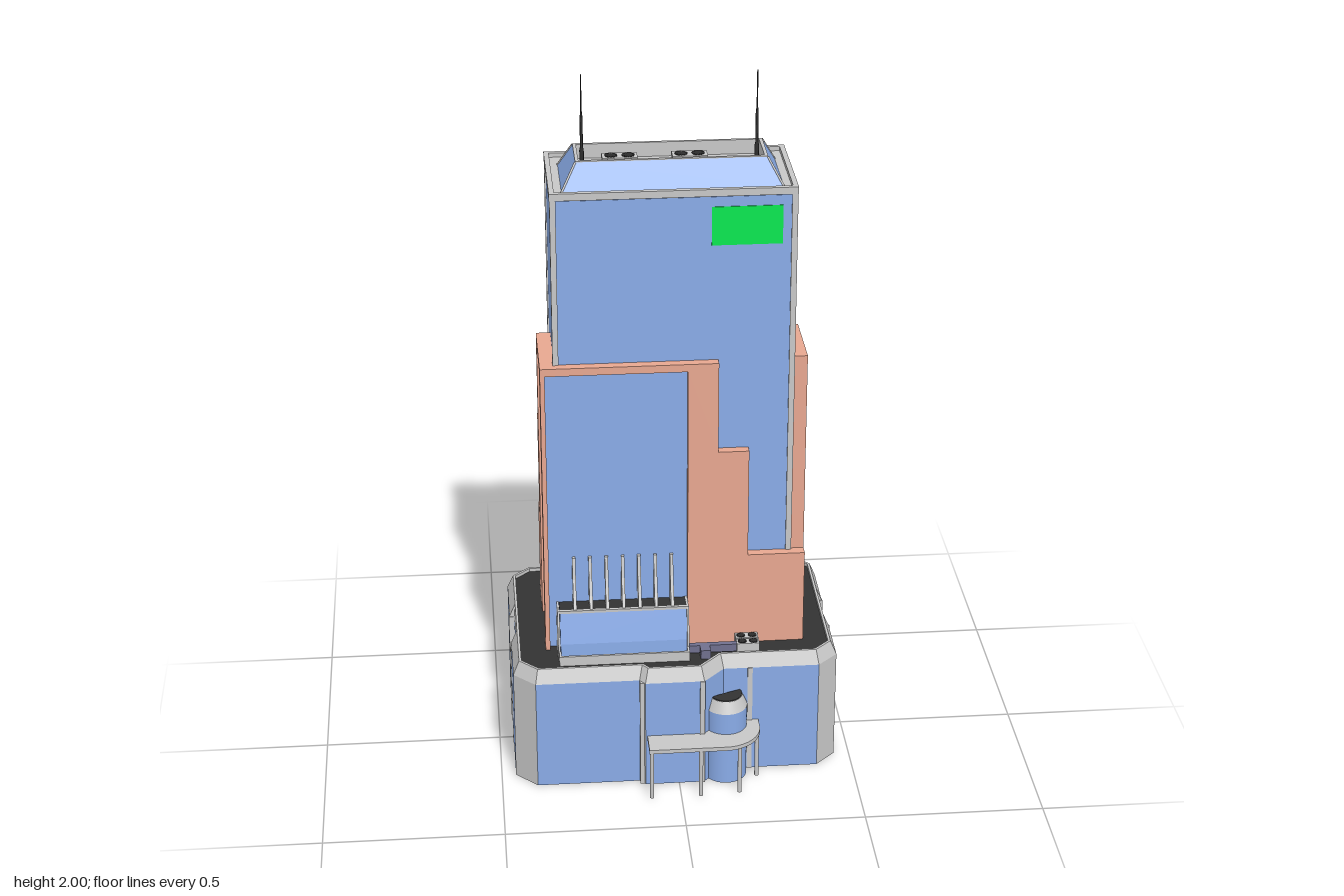
import * as THREE from 'three';

const mat = (name, color, side = THREE.FrontSide) => {
  const m = new THREE.MeshStandardMaterial({ color, side });
  m.name = name;
  return m;
};

export function createModel() {
  const root = new THREE.Group();
  root.name = 'skyscraper';
  const glass = mat('blue glass', 0x89abe7, THREE.DoubleSide);
  const stone = mat('grey stone', 0xc8c8c8, THREE.DoubleSide);
  const brick = mat('pink brick', 0xe8a891);
  const dark = mat('dark roofing', 0x333333, THREE.DoubleSide);
  const metal = mat('dark metal', 0x2c2c2c);
  const green = mat('sign green', 0x06e850);
  const ductMat = mat('duct grey', 0x70708e);
  const CZ = -0.06; // tower centre in z
  const FLOOR = 0.361; // just above the podium deck

  const add = (name, geo, m, parent = root) => {
    const mesh = new THREE.Mesh(geo, m);
    mesh.name = name;
    parent.add(mesh);
    return mesh;
  };
  // box given by its limits
  const box = (name, m, x0, x1, y0, y1, z0, z1, parent) => {
    const b = add(name, new THREE.BoxGeometry(x1 - x0, y1 - y0, z1 - z0), m, parent);
    b.position.set((x0 + x1) / 2, (y0 + y1) / 2, (z0 + z1) / 2);
    return b;
  };
  const shapeOf = (pts) => new THREE.Shape(pts.map(([x, y]) => new THREE.Vector2(x, y)));
  const extrude = (pts, depth) => new THREE.ExtrudeGeometry(shapeOf(pts), { depth, bevelEnabled: false });

  // ---- podium: outline as x, z, recessed flag
  const P = [
    [-0.403, -0.363], [-0.079, -0.363], [-0.075, -0.363, 1], [0.075, -0.363, 1], [0.079, -0.363], [0.403, -0.363],
    [0.457, -0.308], [0.457, -0.149], [0.457, -0.145, 1], [0.457, 0, 1], [0.457, 0.004], [0.457, 0.165],
    [0.4, 0.22], [0.13, 0.22], [0.07, 0.283], [-0.095, 0.283], [-0.11, 0.263], [-0.4, 0.263],
    [-0.46, 0.203], [-0.46, 0.024], [-0.46, 0.02, 1], [-0.46, -0.125, 1], [-0.46, -0.129], [-0.46, -0.308],
  ];
  const N = P.length;
  const inward = (i) => {
    const a = P[(i + N) % N], b = P[(i + 1) % N];
    const dx = b[0] - a[0], dz = b[1] - a[1], l = Math.hypot(dx, dz);
    return [-dz / l, dx / l];
  };
  const inset = (dist) => P.map((p, i) => {
    const a = inward(i - 1), b = inward(i);
    const k = dist(p) / (1 + a[0] * b[0] + a[1] * b[1]);
    return [p[0] + (a[0] + b[0]) * k, p[1] + (a[1] + b[1]) * k];
  });
  // strip of faces between two outlines
  const band = (name, m, A, ya, B, yb, keep = () => true) => {
    const v = [], n = A.length;
    for (let i = 0; i < n; i++) {
      const j = (i + 1) % n;
      if (!keep(i)) continue;
      const a = [A[i][0], ya, A[i][1]], b = [A[j][0], ya, A[j][1]];
      const c = [B[j][0], yb, B[j][1]], d = [B[i][0], yb, B[i][1]];
      v.push(...a, ...c, ...b, ...a, ...d, ...c);
    }
    const g = new THREE.BufferGeometry();
    g.setAttribute('position', new THREE.Float32BufferAttribute(v, 3));
    g.computeVertexNormals();
    return add(name, g, m);
  };
  const wall = inset((p) => (p[2] ? 0.014 : 0));
  const rimOuter = inset(() => 0.017), rimInner = inset(() => 0.024);
  const isShort = (i) => Math.hypot(P[(i + 1) % N][0] - P[i][0], P[(i + 1) % N][1] - P[i][1]) < 0.0855;
  band('podiumGlass', glass, wall, 0, wall, 0.33, (i) => !isShort(i));
  band('podiumCorners', stone, wall, 0, wall, 0.33, isShort);
  band('podiumSlopedRim', stone, wall, 0.33, rimOuter, 0.37);
  band('podiumRimTop', stone, rimOuter, 0.37, rimInner, 0.37);
  band('podiumRimInside', stone, rimInner, 0.37, rimInner, 0.36);
  const deck = new THREE.ShapeGeometry(shapeOf(rimInner.map(([x, z]) => [x, -z])));
  add('podiumDeck', deck.rotateX(-Math.PI / 2).translate(0, 0.36, 0), dark);
  const posts = [[-0.08, -0.358], [0.08, -0.358], [0.452, -0.15], [0.452, 0.005], [-0.455, 0.025], [-0.455, -0.13],
    [-0.103, 0.272], [0.065, 0.28], [0.205, 0.216]];
  for (const [x, z] of posts) box('podiumPost', stone, x - 0.007, x + 0.007, 0, 0.33, z - 0.007, z + 0.007);

  // ---- tower shaft with stone corner trim
  box('towerGlass', glass, -0.325, 0.325, 0.35, 1.7, -0.22, 0.1);
  for (const x of [-0.321, 0.321])
    for (const z of [-0.216, 0.096])
      box('cornerTrim', stone, x - 0.008, x + 0.008, FLOOR, 1.71, z - 0.008, z + 0.008);
  const rect = (hx, hz, cz = CZ) => [[-hx, cz - hz], [hx, cz - hz], [hx, cz + hz], [-hx, cz + hz]];
  const top = rect(0.33, 0.164), topIn = rect(0.316, 0.15);
  band('parapetWall', stone, top, 1.702, top, 1.722);
  band('parapetTop', stone, top, 1.722, topIn, 1.722);
  band('parapetInside', stone, topIn, 1.722, topIn, 1.71);
  box('towerRoof', stone, -0.32, 0.32, 1.7, 1.71, -0.214, 0.094);

  // sloped glass crown with a sunken service roof
  const cz = -0.044;
  const crown = [rect(0.295, 0.107, cz), rect(0.256, 0.07, cz), rect(0.247, 0.061, cz)];
  band('crownGlass', glass, crown[0], 1.71, crown[1], 1.78);
  band('crownRim', stone, crown[1], 1.783, crown[2], 1.783);
  band('crownRimEdge', stone, crown[1], 1.777, crown[1], 1.783);
  band('crownInside', stone, crown[2], 1.783, crown[2], 1.742);
  box('serviceRoof', stone, -0.248, 0.248, 1.735, 1.743, cz - 0.062, cz + 0.062);
  // stone ribs on the crown's hips
  for (let i = 0; i < 4; i++) {
    const a = new THREE.Vector3(crown[0][i][0], 1.71, crown[0][i][1]);
    const b = new THREE.Vector3(crown[1][i][0], 1.78, crown[1][i][1]);
    add('crownRib', new THREE.TubeGeometry(new THREE.LineCurve3(a, b), 1, 0.003, 6), stone);
  }

  // ---- ventilation units with fan blades
  const vent = (x, y, z, w, d, h, fans) => {
    const g = new THREE.Group();
    g.name = 'ventUnit';
    g.position.set(x, y, z);
    root.add(g);
    box('ventBox', stone, -w / 2, w / 2, 0, h, -d / 2, d / 2, g);
    for (const [fx, fz, r] of fans)
      for (let k = 0; k < 6; k++) {
        const blade = box('fanBlade', metal, -r, r, h, h + 0.002, -r * 0.17, r * 0.17, g);
        blade.position.x = fx;
        blade.position.z = fz;
        blade.rotation.y = (k * Math.PI) / 6;
      }
  };
  for (const x of [-0.133, 0.055])
    for (const z of [-0.06, -0.01])
      vent(x, 1.743, z, 0.095, 0.044, 0.022, [[-0.023, 0, 0.017], [0.023, 0, 0.017]]);
  for (const x of [-0.12, 0.027])
    vent(x, 1.705, -0.181, 0.078, 0.037, 0.016, [[-0.019, 0, 0.014], [0.019, 0, 0.014]]);
  for (const z of [0.144, 0.177])
    vent(0.202, FLOOR, z, 0.064, 0.028, 0.031, [[-0.016, 0, 0.012], [0.016, 0, 0.012]]);

  // ---- antennas
  for (const x of [-0.235, 0.233]) {
    const pts = [[0, 1.74], [0.006, 1.74], [0.006, 1.79], [0.004, 1.8], [0.004, 1.88], [0.002, 1.9], [0.0015, 2], [0, 2]];
    const a = add('antenna', new THREE.LatheGeometry(pts.map(([r, y]) => new THREE.Vector2(r, y)), 8), metal);
    a.position.set(x, 0, -0.04);
  }

  // ---- stepped brick facings, each framing a recessed glass panel
  const facing = (name, u, p, flip, base, depth, angle) => {
    const g = new THREE.Group();
    g.name = name;
    const s = flip ? -1 : 1, y0 = FLOOR, yp = 1.208;
    const pts = [[u[0], y0], [p[0], y0], [p[0], yp], [p[1], yp], [p[1], y0], [u[3], y0], [u[3], 0.64],
      [u[2], 0.64], [u[2], 0.963], [u[1], 0.963], [u[1], 1.23], [u[0], 1.23]].map(([a, b]) => [a * s, b]);
    add('brickFrame', extrude(pts, depth), brick, g).position.z = base;
    const xs = [p[0] * s, p[1] * s].sort((a, b) => a - b);
    box('glassPanel', glass, xs[0], xs[1], y0, yp, base, base + depth - 0.021, g);
    g.rotation.y = angle;
    g.position.z = CZ;
    root.add(g);
  };
  facing('frontFacing', [-0.365, 0.12, 0.205, 0.365], [-0.352, 0.036], false, 0.155, 0.032, 0);
  facing('backFacing', [-0.33, 0.125, 0.21, 0.365], [-0.303, 0.105], false, 0.155, 0.032, Math.PI);
  const side = [-0.156, 0.06, 0.105, 0.187], sideP = [-0.138, 0.035];
  facing('leftFacing', side, sideP, false, 0.32, 0.045, Math.PI / 2);
  facing('rightFacing', side, sideP, true, 0.32, 0.045, -Math.PI / 2);

  // ---- plain sign panels
  box('frontSign', green, 0.1, 0.29, 1.563, 1.672, 0.1, 0.102);
  box('backSign', green, 0.1, 0.29, 1.563, 1.672, -0.222, -0.22);

  // ---- terrace glasshouse with curved fins
  const across = (name, pts, x, w, m) => { // profile in z, y swept along x
    const g = extrude(pts.map(([z, y]) => [-z, y]), w);
    add(name, g.rotateY(Math.PI / 2), m).position.x = x;
  };
  across('glasshouse', [[0.106, FLOOR], [0.187, FLOOR], [0.185, 0.41], [0.163, 0.5], [0.155, 0.5], [0.106, 0.49]], -0.325, 0.355, glass);
  for (const x of [-0.332, 0.03])
    across('glasshouseEnd', [[0.106, FLOOR], [0.19, FLOOR], [0.188, 0.43], [0.167, 0.505], [0.106, 0.505]], x, 0.006, stone);
  box('glasshouseRidge', stone, -0.33, 0.035, 0.498, 0.506, 0.156, 0.167);
  box('glasshouseRoof', dark, -0.325, 0.03, 0.496, 0.503, 0.106, 0.156);
  for (let i = 0; i < 7; i++)
    across('fin', [[0.106, 0.5], [0.165, 0.5], [0.147, 0.54], [0.13, 0.585], [0.116, 0.645], [0.106, 0.645]], -0.286 + i * 0.0455, 0.009, stone);
  box('terraceRail', stone, -0.33, 0.035, FLOOR, 0.39, 0.213, 0.22);
  for (const x of [-0.33, 0.029]) box('terraceRailEnd', stone, x, x + 0.006, FLOOR, 0.39, 0.187, 0.22);

  // ---- roof duct
  box('duct', ductMat, 0.035, 0.17, 0.365, 0.388, 0.168, 0.185);
  box('ductBranch', ductMat, 0.066, 0.094, FLOOR, 0.388, 0.185, 0.214);

  // ---- round entrance turret, open where it meets the podium
  const turret = (name, r1, r0, h, y, open, m) => {
    const arc = [THREE.MathUtils.degToRad(-65), THREE.MathUtils.degToRad(175)];
    const g = new THREE.CylinderGeometry(r1, r0, h, 24, 1, open, ...arc);
    add(name, g, m).position.set(0.135, y, 0.235);
  };
  turret('turretGlass', 0.06, 0.06, 0.225, 0.1125, true, glass);
  turret('turretCap', 0.046, 0.061, 0.033, 0.2415, false, stone);
  turret('turretLid', 0.045, 0.045, 0.006, 0.258, false, dark);

  // ---- entrance canopy on columns, its slab running back inside the podium
  const c = new THREE.Shape();
  c.moveTo(-0.09, -0.16);
  c.lineTo(-0.09, -0.36);
  c.lineTo(0.125, -0.36);
  c.absarc(0.125, -0.255, 0.105, -Math.PI / 2, 0, false);
  c.lineTo(0.23, -0.16);
  const canopy = new THREE.ExtrudeGeometry(c, { depth: 0.012, bevelEnabled: false, curveSegments: 12 });
  add('canopy', canopy.rotateX(-Math.PI / 2), stone).position.y = 0.148;
  for (const [x, z] of [[-0.083, 0.352], [0.055, 0.352], [0.165, 0.342], [0.222, 0.26]]) {
    const col = add('canopyColumn', new THREE.CylinderGeometry(0.006, 0.006, 0.15, 10), stone);
    col.position.set(x, 0.075, z);
  }
  return root;
}
